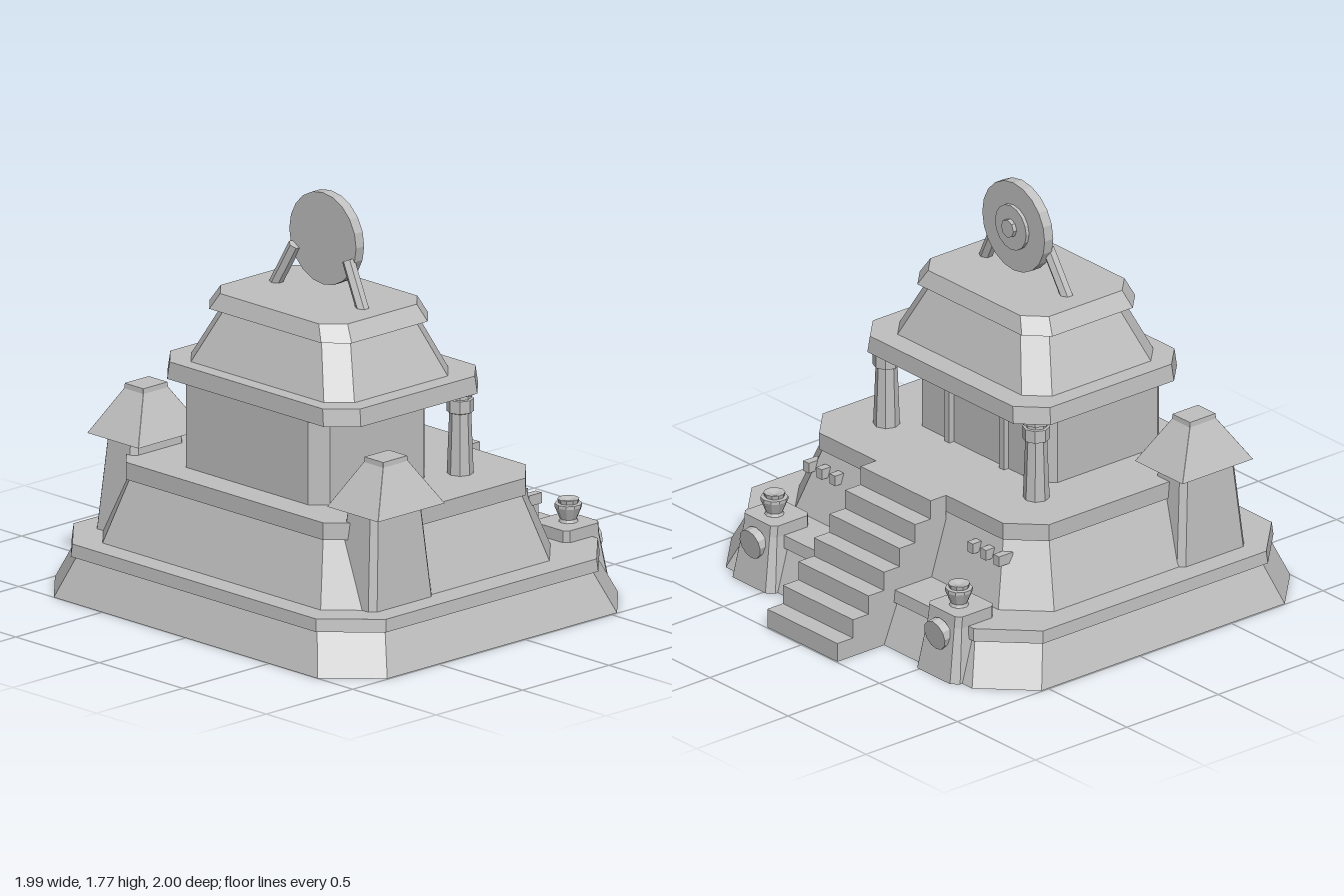
import * as THREE from 'three';

const stone = new THREE.MeshStandardMaterial({ color: 0xc0c0c0, flatShading: true, side: THREE.DoubleSide });
stone.name = 'stone';

// Solid lofted through chamfered rectangles; each section is [y, xMin, xMax, zMin, zMax, chamfer]
function loft(sections, openBottom = false) {
  const rings = sections.map(([y, x0, x1, z0, z1, c]) => [
    [x0 + c, z1], [x1 - c, z1], [x1, z1 - c], [x1, z0 + c],
    [x1 - c, z0], [x0 + c, z0], [x0, z0 + c], [x0, z1 - c],
  ].map(([x, z]) => [x, y, z]));
  const pos = [];
  const tri = (a, b, c) => pos.push(...a, ...b, ...c);
  for (let r = 0; r + 1 < rings.length; r++) {
    const lo = rings[r], hi = rings[r + 1];
    for (let i = 0; i < 8; i++) {
      const j = (i + 1) % 8;
      tri(lo[i], lo[j], hi[j]);
      tri(lo[i], hi[j], hi[i]);
    }
  }
  const bottom = rings[0], top = rings[rings.length - 1];
  for (let i = 1; i < 7; i++) {
    tri(top[0], top[i], top[i + 1]);
    if (!openBottom) tri(bottom[0], bottom[i + 1], bottom[i]);
  }
  const g = new THREE.BufferGeometry();
  g.setAttribute('position', new THREE.Float32BufferAttribute(pos, 3));
  g.computeVertexNormals();
  return g;
}

// Section centred on x = 0
const mid = (y, hx, z0, z1, c) => [y, -hx, hx, z0, z1, c];

function lathe(points, sides) {
  return new THREE.LatheGeometry(points.map(([r, y]) => new THREE.Vector2(r, y)), sides);
}

export function createModel() {
  const model = new THREE.Group();
  model.name = 'temple';

  const add = (name, geometry, x = 0, y = 0, z = 0) => {
    const m = new THREE.Mesh(geometry, stone);
    m.name = name;
    m.position.set(x, y, z);
    model.add(m);
    return m;
  };

  // Stepped tiers, each a sloping body under a ledge
  add('baseWall', loft([mid(0, 0.995, -0.74, 1.0, 0.205), mid(0.18, 0.92, -0.665, 0.935, 0.2)], true));
  add('baseLedge', loft([mid(0.18, 0.94, -0.685, 0.955, 0.205), mid(0.235, 0.935, -0.68, 0.95, 0.205)]));
  add('terraceWall', loft([mid(0.235, 0.818, -0.48, 0.85, 0.165), mid(0.51, 0.715, -0.39, 0.765, 0.135)]));
  add('terraceLedge', loft([mid(0.51, 0.725, -0.4, 0.775, 0.135), mid(0.585, 0.725, -0.4, 0.775, 0.135)]));
  add('sanctum', loft([mid(0.585, 0.43, -0.03, 0.645, 0.065), mid(0.95, 0.43, -0.03, 0.645, 0.065)]));
  add('sanctumEave', loft([mid(0.95, 0.578, -0.24, 0.655, 0.11), mid(1.025, 0.568, -0.235, 0.65, 0.11)]));
  add('upperRoof', loft([mid(1.025, 0.488, -0.135, 0.585, 0.09), mid(1.26, 0.375, -0.05, 0.495, 0.085)]));
  add('roofCap', loft([mid(1.26, 0.425, -0.08, 0.54, 0.09), mid(1.33, 0.38, -0.055, 0.515, 0.085)]));

  // Staircase profile in (-z, y), extruded across x
  const steps = 7, run = 0.085, rise = 0.585 / steps;
  const profile = new THREE.Shape();
  profile.moveTo(0.4, 0);
  profile.lineTo(0.4, 0.585);
  for (let i = 0; i < steps; i++) {
    const z = 0.4 + run * (i + 1);
    profile.lineTo(z, 0.585 - rise * i);
    profile.lineTo(z, 0.585 - rise * (i + 1));
  }
  const stairs = new THREE.ExtrudeGeometry(profile, { depth: 0.45, bevelEnabled: false });
  stairs.rotateY(Math.PI / 2);
  add('stairs', stairs, -0.225);

  // Sun disc with raised rings toward the stairs
  [[0.2, 0.16, 0.207, 20], [0.1, 0.144, 0.162, 16], [0.04, 0.126, 0.146, 8]].forEach(([r, z0, z1, n], i) => {
    const g = new THREE.CylinderGeometry(r, r, z1 - z0, n);
    g.rotateX(Math.PI / 2);
    add(['sunDisc', 'sunDiscRing', 'sunDiscHub'][i], g, 0, 1.57, (z0 + z1) / 2);
  });

  // Door emblem above the entrance
  const emblem = new THREE.CylinderGeometry(0.025, 0.025, 0.04, 8);
  emblem.rotateX(Math.PI / 2);
  add('doorEmblem', emblem, 0, 0.862, -0.045);

  const up = new THREE.Vector3(0, 1, 0);
  for (const s of [1, -1]) {
    const side = s > 0 ? 'left' : 'right';

    // Slanted prop holding the disc
    const a = new THREE.Vector3(s * 0.268, 1.31, 0.229), b = new THREE.Vector3(s * 0.16, 1.51, 0.213);
    const dir = b.clone().sub(a);
    const prop = add(side + 'DiscProp', new THREE.CylinderGeometry(0.028, 0.028, dir.length(), 6));
    prop.position.copy(a).add(b).multiplyScalar(0.5);
    prop.quaternion.setFromUnitVectors(up, dir.normalize());

    // Corner tower
    const t = (y, hx, hz, c) => [y, -hx, hx, -hz, hz, c];
    add(side + 'TowerShaft', loft([t(0.235, 0.12, 0.183, 0.026), t(0.64, 0.09, 0.145, 0.024)]), s * 0.718, 0, 0.545);
    add(side + 'TowerRoof', loft([t(0.64, 0.153, 0.193, 0.001), t(0.83, 0.058, 0.072, 0.001), t(0.852, 0.056, 0.07, 0.001)]),
      s * 0.718, 0, 0.535);

    // Portico column with capital
    add(side + 'Column', lathe([[0, 0.585], [0.056, 0.585], [0.046, 0.85], [0.058, 0.855], [0.058, 0.91],
      [0.047, 0.912], [0.047, 0.93], [0.066, 0.932], [0.066, 0.95], [0, 0.95]], 8), s * 0.48, 0, -0.125);

    // Door post
    add(side + 'DoorPost', new THREE.BoxGeometry(0.03, 0.365, 0.03), s * 0.175, 0.7675, -0.04);

    // Brazier pedestal with round shield and bowl
    add(side + 'Pedestal', loft([
      [0, -0.135, 0.135, -0.782, -0.5, 0.03],
      [0.235, -0.105, 0.105, -0.74, -0.53, 0.022],
      [0.287, -0.105, 0.105, -0.735, -0.53, 0.022],
    ]), s * 0.592);
    const shield = new THREE.CylinderGeometry(0.066, 0.066, 0.04, 12);
    shield.rotateX(Math.PI / 2 - 0.15);
    add(side + 'PedestalShield', shield, s * 0.592, 0.188, -0.757);
    add(side + 'Bowl', lathe([[0, 0.285], [0.042, 0.285], [0.036, 0.3], [0.058, 0.352], [0.058, 0.366],
      [0.042, 0.368], [0.046, 0.386], [0.034, 0.386], [0, 0.376]], 10), s * 0.592, 0, -0.643);

    // Small blocks beside the stairs
    for (let i = 0; i < 3; i++) {
      add(side + 'WallBlock', new THREE.BoxGeometry(0.036, 0.046, 0.075), s * (0.442 + 0.084 * i), 0.437, -0.417);
    }
  }
  return model;
}
